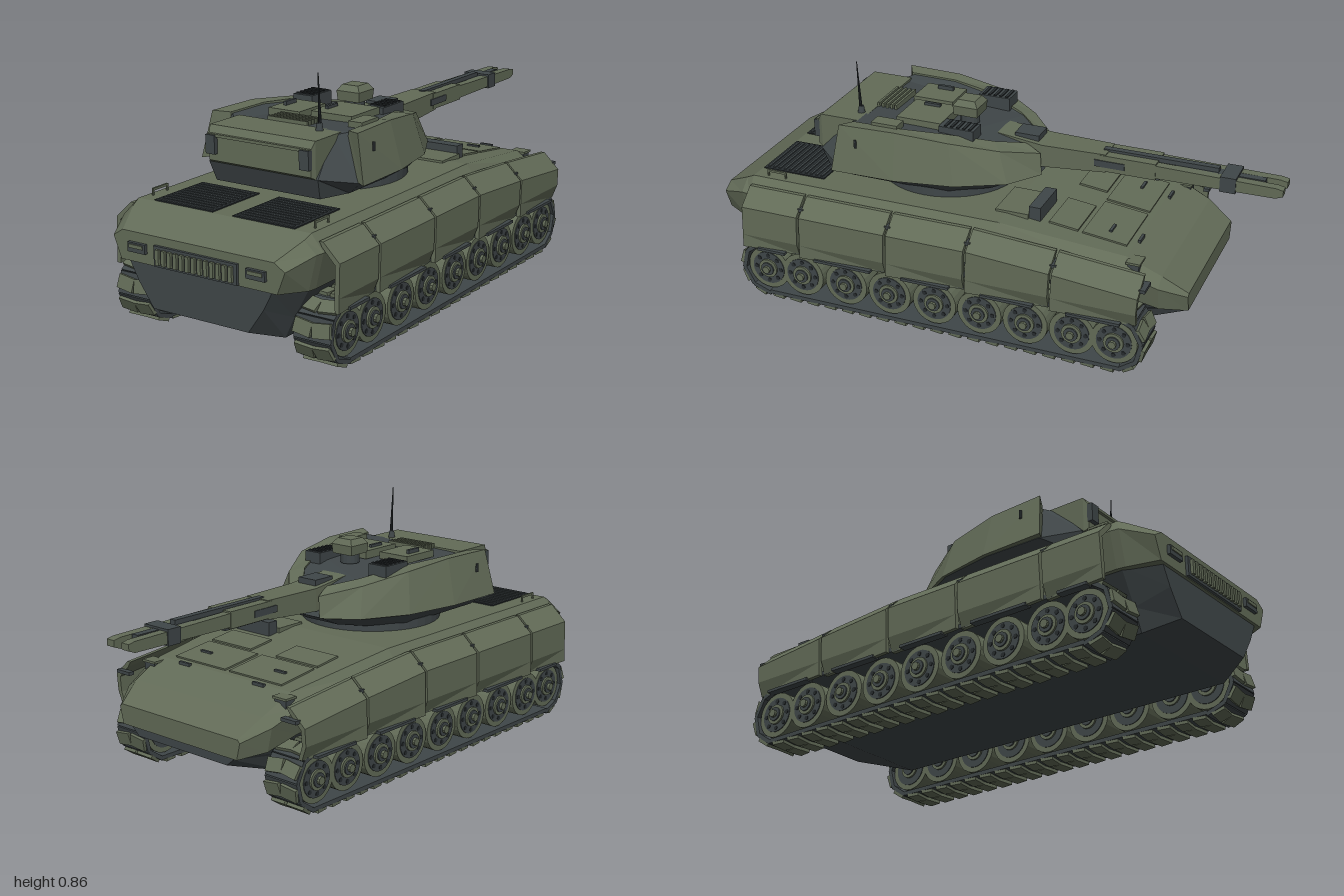
import * as THREE from 'three';

const mat = (name, color) => Object.assign(new THREE.MeshStandardMaterial({ color, flatShading: true }), { name });

export function createModel() {
  const green = mat('olive green', 0x626b57);
  const dark = mat('dark grey', 0x3f4648);
  const black = mat('vent black', 0x272c2e);
  const root = new THREE.Group();
  root.name = 'tank';
  const part = (name, parent = root) => {
    const g = new THREE.Group();
    g.name = name;
    parent.add(g);
    return g;
  };
  const add = (name, geo, m, parent = root) => {
    const mesh = new THREE.Mesh(geo, m);
    mesh.name = name;
    parent.add(mesh);
    return mesh;
  };
  // Box given by its minimum and maximum on each axis
  const box = (name, m, parent, x0, x1, y0, y1, z0, z1) => {
    const b = add(name, new THREE.BoxGeometry(Math.abs(x1 - x0), y1 - y0, z1 - z0), m, parent);
    b.position.set((x0 + x1) / 2, (y0 + y1) / 2, (z0 + z1) / 2);
    return b;
  };
  const rod = (name, m, parent, r, len, x, y, z, axis = 'y', sides = 16, rTop = r) => {
    const c = add(name, new THREE.CylinderGeometry(rTop, r, len, sides), m, parent);
    c.position.set(x, y, z);
    if (axis === 'x') c.rotation.z = -Math.PI / 2;
    if (axis === 'z') c.rotation.x = Math.PI / 2;
    return c;
  };
  // Capped skin over rings of [x, y, z] points, always wound outward
  const loft = (name, m, parent, rings) => {
    const tris = [], n = rings[0].length;
    rings.slice(1).forEach((b, k) => {
      const a = rings[k];
      for (let i = 0; i < n; i++) {
        const j = (i + 1) % n;
        tris.push([a[i], a[j], b[j]], [a[i], b[j], b[i]]);
      }
    });
    [rings[0], rings[rings.length - 1]].forEach((ring, end) => {
      const flat = ring.map((p) => new THREE.Vector3(...p));
      const nrm = new THREE.Vector3();
      flat.forEach((p, i) => nrm.add(p.clone().cross(flat[(i + 1) % n])));
      const [u, v] = Math.abs(nrm.y) > Math.abs(nrm.z) ? ['x', 'z'] : ['x', 'y'];
      const contour = flat.map((p) => new THREE.Vector2(p[u], p[v]));
      const ccw = !THREE.ShapeUtils.isClockWise(contour);
      THREE.ShapeUtils.triangulateShape(contour, []).forEach((f) => {
        // Triangulation may turn the face, so follow the ring's own order
        const area = (contour[f[1]].clone().sub(contour[f[0]])).cross(contour[f[2]].clone().sub(contour[f[0]]));
        const t = f.map((i) => ring[i]);
        if ((area > 0) !== ccw) t.reverse();
        if (!end) t.reverse();
        tris.push(t);
      });
    });
    const vol = tris.reduce((s, [a, b, c]) => s + new THREE.Vector3(...a).dot(new THREE.Vector3(...b).cross(new THREE.Vector3(...c))), 0);
    if (vol < 0) tris.forEach((t) => t.reverse());
    const geo = new THREE.BufferGeometry();
    geo.setAttribute('position', new THREE.Float32BufferAttribute(tris.flat(2), 3));
    geo.computeVertexNormals();
    return add(name, geo, m, parent);
  };
  const mirror = (half) => [...half, ...half.slice().reverse().map(([x, y, z]) => [-x, y, z])];
  const section = (z, ...half) => mirror(half.map(([x, y]) => [x, y, z]));
  const both = (fn) => [1, -1].forEach(fn);

  // Hull
  const hull = part('hull');
  loft('upperHull', green, hull, [
    section(0.98, [0.3, 0.375], [0.34, 0.35], [0.31, 0.275]),
    section(0.88, [0.34, 0.425], [0.385, 0.385], [0.355, 0.265]),
    section(0.85, [0.345, 0.44], [0.39, 0.385], [0.36, 0.265]),
    section(-0.1, [0.345, 0.44], [0.39, 0.385], [0.36, 0.265]),
    section(-0.55, [0.31, 0.385], [0.365, 0.35], [0.34, 0.25]),
    section(-0.67, [0.3, 0.33], [0.34, 0.3], [0.32, 0.215]),
    section(-0.76, [0.275, 0.27], [0.285, 0.26], [0.27, 0.2])]);
  loft('lowerHull', dark, hull, [
    section(0.97, [0.285, 0.276], [0.25, 0.21], [0.19, 0.125]),
    section(0.86, [0.35, 0.276], [0.285, 0.16], [0.25, 0.085]),
    section(-0.5, [0.34, 0.26], [0.285, 0.16], [0.25, 0.085]),
    section(-0.745, [0.265, 0.21], [0.24, 0.19], [0.21, 0.165])]);
  rod('turretRing', dark, hull, 0.255, 0.04, 0, 0.452, 0.22, 'y', 40);

  // Exhaust grille, tail lamps and engine deck vents
  box('exhaustGrille', dark, hull, -0.165, 0.165, 0.278, 0.347, 0.97, 0.99);
  for (let i = 0; i < 13; i++) {
    const x = -0.145 + i * 0.0242;
    box('exhaustSlat', green, hull, x - 0.007, x + 0.007, 0.287, 0.338, 0.985, 1.0);
  }
  both((s) => {
    box('tailLamp', dark, hull, s * 0.2, s * 0.272, 0.31, 0.342, 0.97, 0.992);
    box('tailLampLens', green, hull, s * 0.208, s * 0.264, 0.325, 0.337, 0.988, 0.996);
    box('engineVent', black, hull, s * 0.04, s * 0.28, 0.43, 0.444, 0.6, 0.845);
    for (let i = 0; i < 11; i++) {
      const z = 0.615 + i * 0.0215;
      box('ventSlat', dark, hull, s * 0.05, s * 0.27, 0.44, 0.448, z - 0.004, z + 0.004);
    }
    [0.73, 0.8].forEach((z) => rod('deckRailPost', green, hull, 0.004, 0.03, s * 0.325, 0.448, z, 'y', 8));
    box('deckRail', green, hull, s * 0.321, s * 0.329, 0.456, 0.464, 0.728, 0.802);
    // Glacis plates, hinges and headlamps
    const plate = box('glacisPlate', green, hull, s * 0.01, s * 0.25, 0.398, 0.406, -0.53, -0.37);
    plate.rotation.x = -0.122;
    plate.position.y = 0.399;
    const rear = box('driverPlate', green, hull, s * 0.06, s * 0.25, 0.418, 0.426, -0.355, -0.25);
    rear.rotation.x = -0.122;
    rear.position.y = 0.418;
    [[-0.558, 0.388], [-0.455, 0.406]].forEach(([z, y]) => box('hinge', dark, hull, s * 0.15, s * 0.2, y - 0.008, y + 0.003, z - 0.005, z + 0.005));
    box('headlamp', dark, hull, s * 0.285, s * 0.335, 0.345, 0.375, -0.6, -0.56);
    box('headlampGuard', green, hull, s * 0.28, s * 0.34, 0.372, 0.38, -0.605, -0.555);
  });
  box('driverHatch', green, hull, 0.09, 0.27, 0.43, 0.448, -0.18, -0.06);
  box('driverPeriscope', dark, hull, 0.1, 0.26, 0.425, 0.475, -0.222, -0.18);

  // Side skirts, in panels that follow the deck line
  const drop = (z) => (z > -0.1 ? 0 : (z + 0.1) * 0.09);
  const seams = [0.85, 0.62, 0.28, -0.02, -0.33, -0.64];
  both((s) => {
    const skirt = part(s > 0 ? 'leftSkirt' : 'rightSkirt');
    const rib = (z, low, lean) => [[0.37, 0.418], [0.385, 0.418], [0.447, 0.36], [0.447, 0.25], [low, 0.2],
      [low - 0.015, 0.2], [0.43, 0.25], [0.43, 0.352], [0.383, 0.398]]
      .map(([x, y]) => [s * x, y + drop(z) * (y > 0.3 ? 1 : 0), z + lean * (0.418 - y)]);
    for (let i = 0; i < 5; i++) {
      const z0 = seams[i] - 0.005, z1 = seams[i + 1] + 0.005;
      loft('skirtPanel', green, skirt, [rib(z0, 0.447, 0.04), rib(z1, 0.428, 0.04)]);
      box('skirtSlot', dark, skirt, s * 0.42, s * 0.45, 0.196, 0.206, z1 + 0.06, z0 - 0.05);
      const y = 0.385 + drop(z1);
      box('skirtBracket', dark, skirt, s * 0.36, s * 0.425, y - 0.012, y, z1 - 0.016, z1 + 0.006);
    }
  });

  // Running gear
  const zA = 0.765, zB = -0.545, cy = 0.115, r = 0.097, straight = zA - zB, arc = Math.PI * r;
  const links = 46, pitch = 2 * (straight + arc) / links;
  // Point on the track loop: z, y and turn of its outward normal from straight up
  const trackPoint = (d) => {
    if (d < straight) return [zB + d, cy + r, 0];
    if ((d -= straight) < arc) return [zA + r * Math.sin(d / r), cy + r * Math.cos(d / r), d / r];
    if ((d -= arc) < straight) return [zA - d, cy - r, Math.PI];
    const a = Math.PI + (d - straight) / r;
    return [zB + r * Math.sin(a), cy + r * Math.cos(a), a];
  };
  both((s) => {
    const gear = part(s > 0 ? 'leftTrack' : 'rightTrack');
    for (let i = 0; i < links; i++) {
      const [z, y, a] = trackPoint((i + 0.5) * pitch);
      const link = part('trackLink', gear);
      link.position.set(s * 0.36, y, z);
      link.rotation.x = a;
      box('trackBelt', dark, link, -0.07, 0.07, -0.008, 0.007, -pitch * 0.53, pitch * 0.53);
      both((h) => {
        box('trackPad', green, link, h * 0.002, h * 0.068, 0.005, 0.018, -pitch * 0.34, pitch * 0.34).rotation.y = h * 0.13;
      });
    }
    [0.77, 0.63, 0.456, 0.284, 0.11, -0.06, -0.23, -0.4, -0.55].forEach((z) => {
      const wheel = part('roadWheel', gear);
      wheel.position.set(s * 0.36, cy, z);
      rod('tyre', green, wheel, 0.082, 0.12, 0, 0, 0, 'x', 28);
      rod('wheelDisc', dark, wheel, 0.063, 0.126, 0, 0, 0, 'x', 28);
      rod('wheelRim', green, wheel, 0.036, 0.14, 0, 0, 0, 'x', 20);
      rod('hubCap', dark, wheel, 0.025, 0.15, 0, 0, 0, 'x', 16);
      rod('hubBolt', green, wheel, 0.014, 0.07, s * 0.05, 0, 0, 'x', 10);
      for (let k = 0; k < 8; k++) {
        const a = k * Math.PI / 4;
        rod('wheelHole', black, wheel, 0.008, 0.004, s * 0.063, 0.05 * Math.cos(a), 0.05 * Math.sin(a), 'x', 8);
      }
    });
  });

  // Turret body
  const turret = part('turret');
  loft('turretCore', dark, turret, [
    mirror([[0.07, 0.465, -0.05], [0.16, 0.465, 0], [0.24, 0.465, 0.13], [0.25, 0.465, 0.3], [0.25, 0.465, 0.5], [0.21, 0.465, 0.61]]),
    mirror([[0.08, 0.51, -0.15], [0.195, 0.51, -0.065], [0.28, 0.51, 0.1], [0.31, 0.51, 0.3], [0.305, 0.51, 0.52], [0.22, 0.535, 0.635]]),
    mirror([[0.06, 0.605, -0.09], [0.13, 0.625, -0.01], [0.205, 0.655, 0.15], [0.235, 0.664, 0.31], [0.24, 0.664, 0.48], [0.2, 0.655, 0.52]])]);
  const cheek = [
    [[0.083, 0.51, -0.158], [0.07, 0.585, -0.148], [0.055, 0.61, -0.09]],
    [[0.2, 0.51, -0.075], [0.175, 0.618, -0.035], [0.13, 0.632, 0]],
    [[0.287, 0.51, 0.09], [0.255, 0.655, 0.12], [0.2, 0.662, 0.16]],
    [[0.325, 0.51, 0.3], [0.285, 0.675, 0.31], [0.235, 0.67, 0.31]],
    [[0.33, 0.51, 0.54], [0.295, 0.675, 0.52], [0.24, 0.67, 0.49]]];
  both((s) => {
    const rings = cheek.map(([a, b, c]) => [a, b, c, [c[0] * 0.95, 0.52, c[2]]].map(([x, y, z]) => [s * x, y, z]));
    for (let i = 0; i < 4; i++) loft('cheekArmour', green, turret, [rings[i], rings[i + 1]]);
    box('launcherBox', dark, turret, s * 0.17, s * 0.207, 0.57, 0.635, 0.64, 0.668);
    rod('sideHook', dark, turret, 0.005, 0.03, s * 0.312, 0.62, 0.45, 'y', 8);
  });
  loft('bustle', green, turret, [
    section(0.48, [0.212, 0.662], [0.212, 0.53]),
    section(0.635, [0.212, 0.662], [0.212, 0.535]),
    section(0.652, [0.205, 0.635], [0.205, 0.545])]);
  box('bustleLip', green, turret, -0.205, 0.205, 0.628, 0.638, 0.64, 0.662);

  // Roof fittings
  box('leftHatch', green, turret, -0.16, -0.03, 0.65, 0.676, 0.23, 0.385);
  box('rightHatch', green, turret, 0, 0.165, 0.65, 0.68, 0.19, 0.36);
  [[-0.13, 0.30], [0.03, 0.28]].forEach(([x, z]) => box('hatchHandle', dark, turret, x - 0.006, x + 0.006, 0.67, 0.69, z - 0.03, z + 0.03));
  box('leftSight', dark, turret, -0.21, -0.13, 0.63, 0.678, 0.05, 0.17);
  box('rightSight', dark, turret, 0.11, 0.18, 0.63, 0.678, 0.06, 0.19);
  for (let i = 0; i < 5; i++) {
    box('roofVentSlat', green, turret, -0.09, 0.07, 0.655, 0.675, 0.405 + i * 0.017, 0.414 + i * 0.017);
    box('sightSlat', black, turret, 0.115, 0.175, 0.676, 0.682, 0.07 + i * 0.023, 0.08 + i * 0.023);
    box('sightSlat', black, turret, -0.205, -0.135, 0.676, 0.682, 0.06 + i * 0.022, 0.07 + i * 0.022);
  }
  box('stowageBox', green, turret, 0.19, 0.245, 0.65, 0.682, 0.32, 0.42);
  rod('cupolaBase', dark, turret, 0.035, 0.05, 0.03, 0.67, 0.135, 'y', 16);
  const head = (y, w) => [[0.03 - w, y, 0.135 - w], [0.03 + w, y, 0.135 - w], [0.03 + w, y, 0.135 + w], [0.03 - w, y, 0.135 + w]];
  loft('cupolaHead', green, turret, [head(0.68, 0.044), head(0.715, 0.047), head(0.736, 0.032)]);
  rod('antennaBase', dark, turret, 0.014, 0.03, 0.14, 0.672, 0.51, 'y', 12, 0.009);
  rod('antenna', black, turret, 0.006, 0.175, 0.143, 0.7675, 0.515, 'y', 8, 0.0015).rotation.x = 0.05;

  // Twin-rail gun
  const gun = part('gun');
  loft('mantlet', green, gun, [
    section(0.02, [0.055, 0.63], [0.055, 0.53]),
    section(-0.15, [0.06, 0.612], [0.06, 0.53]),
    section(-0.38, [0.05, 0.612], [0.05, 0.545])]);
  box('mantletSight', dark, gun, -0.04, 0.04, 0.6, 0.635, -0.13, -0.04);
  both((s) => {
    box('rearRail', green, gun, s * 0.016, s * 0.053, 0.55, 0.609, -0.56, -0.36);
    loft('rail', green, gun, [[-0.5, 0.604, 0.555], [-0.975, 0.597, 0.56], [-1.0, 0.592, 0.57]].map(([z, t, b]) =>
      [[0.018, t], [0.051, t], [0.051, b], [0.018, b]].map(([x, y]) => [s * x, y, z])));
    box('railInset', dark, gun, s * 0.05, s * 0.056, 0.566, 0.59, -0.45, -0.34);
  });
  box('railCore', dark, gun, -0.02, 0.02, 0.555, 0.6, -0.79, -0.3);
  box('coreStrip', dark, gun, -0.012, 0.012, 0.59, 0.616, -0.77, -0.36);
  box('muzzleCore', dark, gun, -0.014, 0.014, 0.565, 0.6, -0.93, -0.83);
  box('muzzleBand', dark, gun, -0.055, 0.055, 0.552, 0.607, -0.84, -0.785);
  box('underCradle', dark, gun, -0.035, 0.035, 0.542, 0.56, -0.57, -0.34);
  return root;
}
